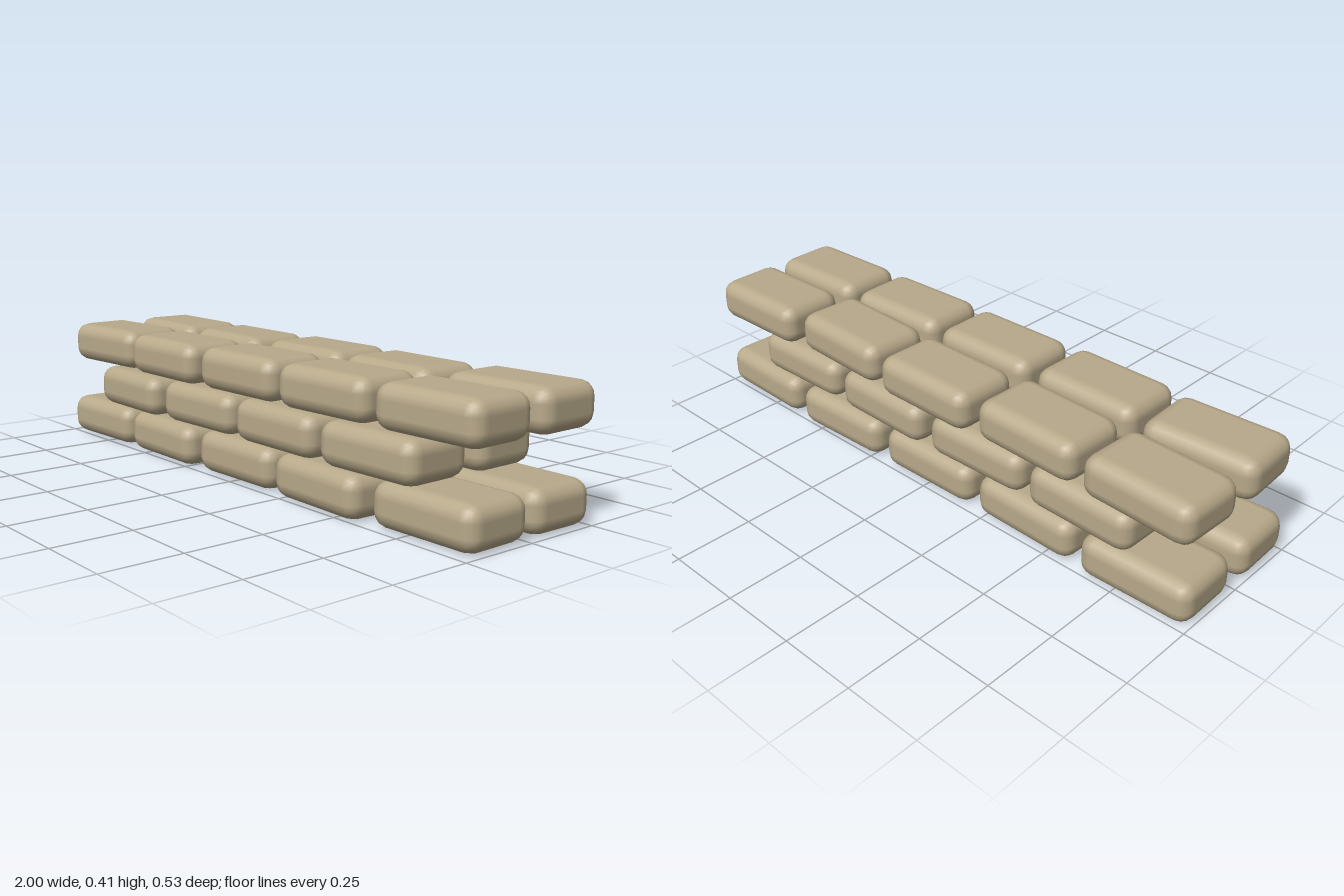
import * as THREE from 'three';
import { RoundedBoxGeometry } from 'three/addons/geometries/RoundedBoxGeometry.js';

// Barrier of stacked sandbags: two walls, three staggered courses
const BAG = { width: 0.375, height: 0.135, depth: 0.235, radius: 0.047 };
const PITCH = 0.405;

// Each bag: [z offset, slight turn about y], listed from -x to +x
const COURSES = [
  {
    front: [[0.138, 0.03], [0.14, -0.02], [0.13, 0.01], [0.142, -0.03], [0.118, 0.02]],
    back: [[-0.135, 0.02], [-0.128, -0.02], [-0.13, 0.01], [-0.143, 0.03], [-0.14, -0.02]],
  },
  {
    front: [[0.142, -0.03], [0.132, 0.02], [0.135, -0.01], [0.135, 0.03]],
    back: [[-0.132, -0.02], [-0.128, 0.02], [-0.135, -0.02], [-0.133, 0.02]],
  },
  {
    front: [[0.123, 0.05], [0.132, -0.01], [0.123, 0.01], [0.123, 0.03], [0.115, 0.03]],
    back: [[-0.147, -0.04], [-0.133, -0.03], [-0.145, -0.01], [-0.128, -0.04], [-0.15, 0.02]],
  },
];

export function createModel() {
  const model = new THREE.Group();
  model.name = 'sandbagBarrier';

  const geometry = new RoundedBoxGeometry(BAG.width, BAG.height, BAG.depth, 2, BAG.radius);
  const material = new THREE.MeshStandardMaterial({ color: 0xb8a98a });

  COURSES.forEach((course, level) => {
    for (const side of ['front', 'back']) {
      const row = new THREE.Group();
      row.name = `${side}Course${level + 1}`;
      row.position.y = BAG.height * (level + 0.5);
      const bags = course[side];
      bags.forEach(([z, turn], i) => {
        const bag = new THREE.Mesh(geometry, material);
        bag.name = `sandbag${i + 1}`;
        bag.position.set((i - (bags.length - 1) / 2) * PITCH, 0, z);
        bag.rotation.y = turn;
        row.add(bag);
      });
      model.add(row);
    }
  });
  return model;
}
